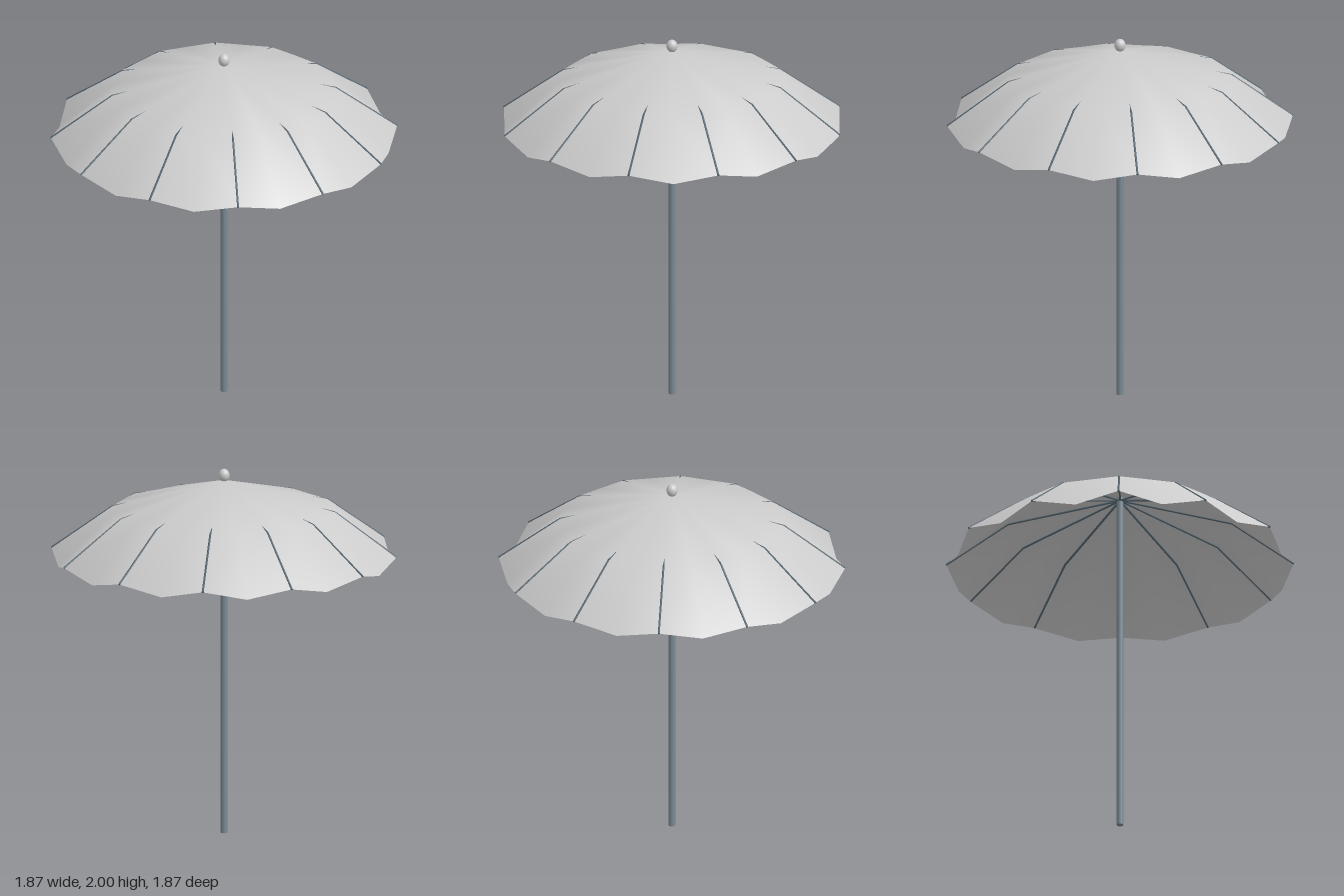
import * as THREE from 'three';

const RIBS = 12;
const MID = [0.6, 1.78]; // radius, height of the bend in each rib
const RIM = [0.93, 1.54];

// Canopy: apex, bend ring and scalloped rim, with two points per rib
function canopyGeometry() {
  const n = RIBS * 2;
  const pos = [0, 1.94, 0];
  const index = [];
  const rings = [
    [MID, [0.59, 1.775]],
    [RIM, [0.895, 1.49]],
  ];
  for (const ring of rings) {
    for (let i = 0; i < n; i++) {
      const a = (i / n) * Math.PI * 2;
      const [r, y] = ring[i % 2];
      pos.push(Math.sin(a) * r, y, Math.cos(a) * r);
    }
  }
  for (let i = 0; i < n; i++) {
    const a = 1 + i, b = 1 + ((i + 1) % n);
    index.push(0, a, b);
    // split each outer panel symmetrically about its rib
    if (i % 2) index.push(a, a + n, b + n, a, b + n, b);
    else index.push(a, a + n, b, b, a + n, b + n);
  }
  const geo = new THREE.BufferGeometry();
  geo.setAttribute('position', new THREE.Float32BufferAttribute(pos, 3));
  geo.setIndex(index);
  geo.computeVertexNormals();
  return geo;
}

// Straight thin rod between two points
function rod(p, q, radius, material) {
  const dir = q.clone().sub(p);
  const mesh = new THREE.Mesh(new THREE.CylinderGeometry(radius, radius, dir.length(), 6), material);
  mesh.position.copy(p).add(q).multiplyScalar(0.5);
  mesh.quaternion.setFromUnitVectors(new THREE.Vector3(0, 1, 0), dir.normalize());
  return mesh;
}

export function createModel() {
  const model = new THREE.Group();
  model.name = 'parasol';
  const cloth = new THREE.MeshStandardMaterial({ color: 0xcccccc, side: THREE.DoubleSide });
  const grey = new THREE.MeshStandardMaterial({ color: 0xcccccc });
  const steel = new THREE.MeshStandardMaterial({ color: 0x7a8a94 });
  const darkSteel = new THREE.MeshStandardMaterial({ color: 0x566670 });

  const canopy = new THREE.Mesh(canopyGeometry(), cloth);
  canopy.name = 'canopy';
  model.add(canopy);

  // Pole
  const pole = new THREE.Mesh(new THREE.CylinderGeometry(0.018, 0.018, 1.93, 12), steel);
  pole.name = 'pole';
  pole.position.y = 0.965;
  model.add(pole);

  // Bent ribs under the cloth
  const ribs = new THREE.Group();
  ribs.name = 'ribs';
  for (let i = 0; i < RIBS; i++) {
    const rib = new THREE.Group();
    rib.name = 'rib';
    const top = new THREE.Vector3(0, 1.915, 0);
    const bend = new THREE.Vector3(0, MID[1] - 0.003, MID[0]);
    const tip = new THREE.Vector3(0, RIM[1], RIM[0]);
    rib.add(rod(top, bend, 0.006, darkSteel), rod(bend, tip, 0.006, darkSteel));
    rib.rotation.y = (i / RIBS) * Math.PI * 2;
    ribs.add(rib);
  }
  model.add(ribs);

  // Finial
  const finial = new THREE.Mesh(new THREE.SphereGeometry(0.03, 20, 14), grey);
  finial.name = 'finial';
  finial.scale.y = 1.17;
  finial.position.y = 1.965;
  model.add(finial);

  return model;
}
